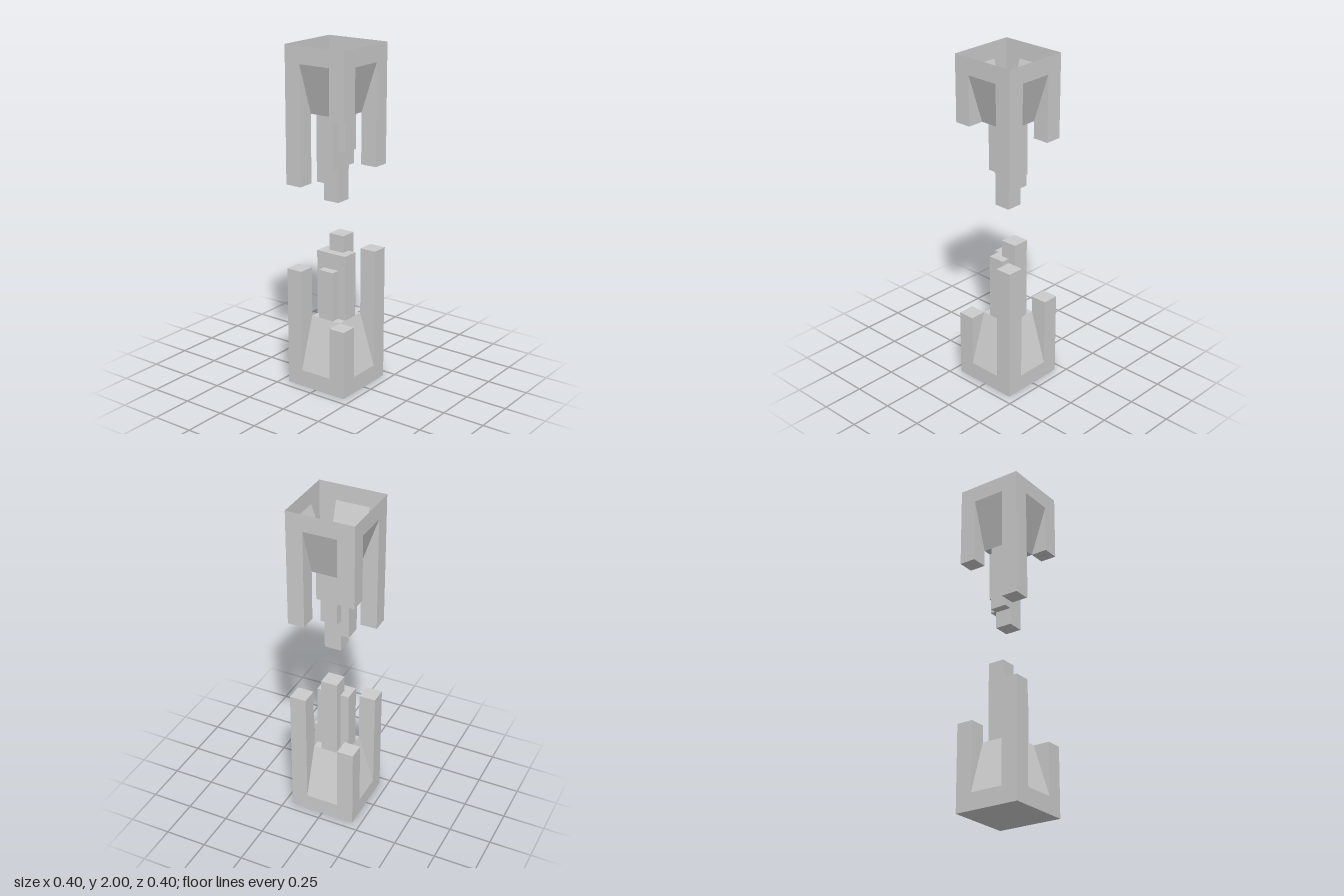
import * as THREE from 'three';

const R = 0.2; // outer half width
const C = 0.1; // half width of the core, and width of a corner post
const SKIRT = 0.1; // height of the plain band at the closed or open end

const material = new THREE.MeshStandardMaterial({
  color: 0xcccccc, flatShading: true, side: THREE.DoubleSide,
});

// Collects convex faces; each face is turned so that it looks along `out`.
class Shell {
  constructor(toY) {
    this.toY = toY;
    this.pos = [];
  }

  face(points, out) {
    const p = points.map(([x, d, z]) => new THREE.Vector3(x, this.toY(d), z));
    const dir = new THREE.Vector3(out[0], this.toY(out[1]) - this.toY(0), out[2]);
    for (let i = 1; i < p.length - 1; i++) {
      let [a, b, c] = [p[0], p[i], p[i + 1]];
      const n = b.clone().sub(a).cross(c.clone().sub(a));
      if (n.length() < 1e-7) continue;
      if (n.dot(dir) < 0) [b, c] = [c, b];
      for (const v of [a, b, c]) this.pos.push(v.x, v.y, v.z);
    }
  }

  mesh(name) {
    const g = new THREE.BufferGeometry();
    g.setAttribute('position', new THREE.Float32BufferAttribute(this.pos, 3));
    g.computeVertexNormals();
    const m = new THREE.Mesh(g, material);
    m.name = name;
    return m;
  }
}

// One half of the model. Heights are measured from its outer end inwards.
function makeHalf({ name, toY, closed, shoulder, posts, zs, core }) {
  const group = new THREE.Group();
  group.name = name;
  const part = (label, build) => {
    const s = new Shell(toY);
    build(s);
    group.add(s.mesh(label));
  };
  // quarter turns about the vertical axis
  const turns = [0, 1, 2, 3].map((k) => ([x, d, z]) => {
    for (let i = 0; i < k; i++) [x, z] = [z, -x];
    return [x, d, z];
  });

  part('skirt', (s) => turns.forEach((t) => s.face(
    [[-R, 0, R], [R, 0, R], [R, SKIRT, R], [-R, SKIRT, R]].map(t), t([0, 0, 1]))));

  if (closed) {
    part('base', (s) => s.face([[-R, 0, -R], [R, 0, -R], [R, 0, R], [-R, 0, R]], [0, -1, 0]));
  }

  part('slopingPanels', (s) => turns.forEach((t) => s.face(
    [[-C, SKIRT, R], [C, SKIRT, R], [C, shoulder, C], [-C, shoulder, C]].map(t), t([0, 0, 1]))));

  // corner posts, cut on their inner sides along the sloping panels
  for (const [sx, sz, h, label] of posts) {
    part(label, (s) => {
      const x = sx * R, z = sz * R, ix = sx * C, iz = sz * C;
      s.face([[x, SKIRT, z], [ix, SKIRT, z], [ix, h, z], [x, h, z]], [0, 0, sz]);
      s.face([[x, SKIRT, z], [x, SKIRT, iz], [x, h, iz], [x, h, z]], [sx, 0, 0]);
      s.face([[ix, SKIRT, z], [ix, h, z], [ix, h, iz], [ix, shoulder, iz]], [-sx, 0, 0]);
      s.face([[x, SKIRT, iz], [x, h, iz], [ix, h, iz], [ix, shoulder, iz]], [0, 0, -sz]);
      s.face([[ix, h, iz], [x, h, iz], [x, h, z], [ix, h, z]], [0, 1, 0]);
    });
  }

  // stepped core: one flat end per cell, walls wherever neighbours differ
  part('steppedCore', (s) => {
    const xs = [-C, -0.05, 0.05, C];
    const at = (i, j) => core[j]?.[i] ?? shoulder;
    for (let j = 0; j < zs.length; j++) {
      for (let i = 0; i < xs.length; i++) {
        const h = at(i, j), hx = at(i - 1, j), hz = at(i, j - 1);
        const [x0, x1, z0, z1] = [xs[i], xs[i + 1], zs[j], zs[j + 1]];
        const inX = i < xs.length - 1, inZ = j < zs.length - 1;
        if (inX && inZ) s.face([[x0, h, z0], [x1, h, z0], [x1, h, z1], [x0, h, z1]], [0, 1, 0]);
        if (inZ) s.face([[x0, h, z0], [x0, h, z1], [x0, hx, z1], [x0, hx, z0]], [hx - h, 0, 0]);
        if (inX) s.face([[x0, h, z0], [x1, h, z0], [x1, hz, z0], [x0, hz, z0]], [0, 0, hz - h]);
      }
    }
  });
  return group;
}

export function createModel() {
  const model = new THREE.Group();
  model.name = 'steppedPillars';
  const corners = (fl, fr, bl, br) => [
    [1, 1, fl, 'frontLeftPost'], [-1, 1, fr, 'frontRightPost'],
    [1, -1, bl, 'backLeftPost'], [-1, -1, br, 'backRightPost'],
  ];

  // standing half, closed underneath
  model.add(makeHalf({
    name: 'lowerHalf', toY: (d) => d, closed: true, shoulder: 0.41,
    posts: corners(0.41, 0.71, 0.81, 0.51),
    zs: [-C, -0.05, 0, 0.05, C],
    core: [[0.41, 0.9, 0.41], [0.8, 0.9, 0.8], [0.8, 0.8, 0.8], [0.41, 0.705, 0.41]],
  }));

  // hanging half, a hollow shell open at the top
  model.add(makeHalf({
    name: 'upperHalf', toY: (d) => 2 - d, closed: false, shoulder: 0.39,
    posts: corners(0.39, 0.79, 0.69, 0.49),
    zs: [-C, -0.05, 0.05, C],
    core: [[0.39, 0.69, 0.39], [0.79, 0.89, 0.59], [0.39, 0.69, 0.39]],
  }));
  return model;
}
